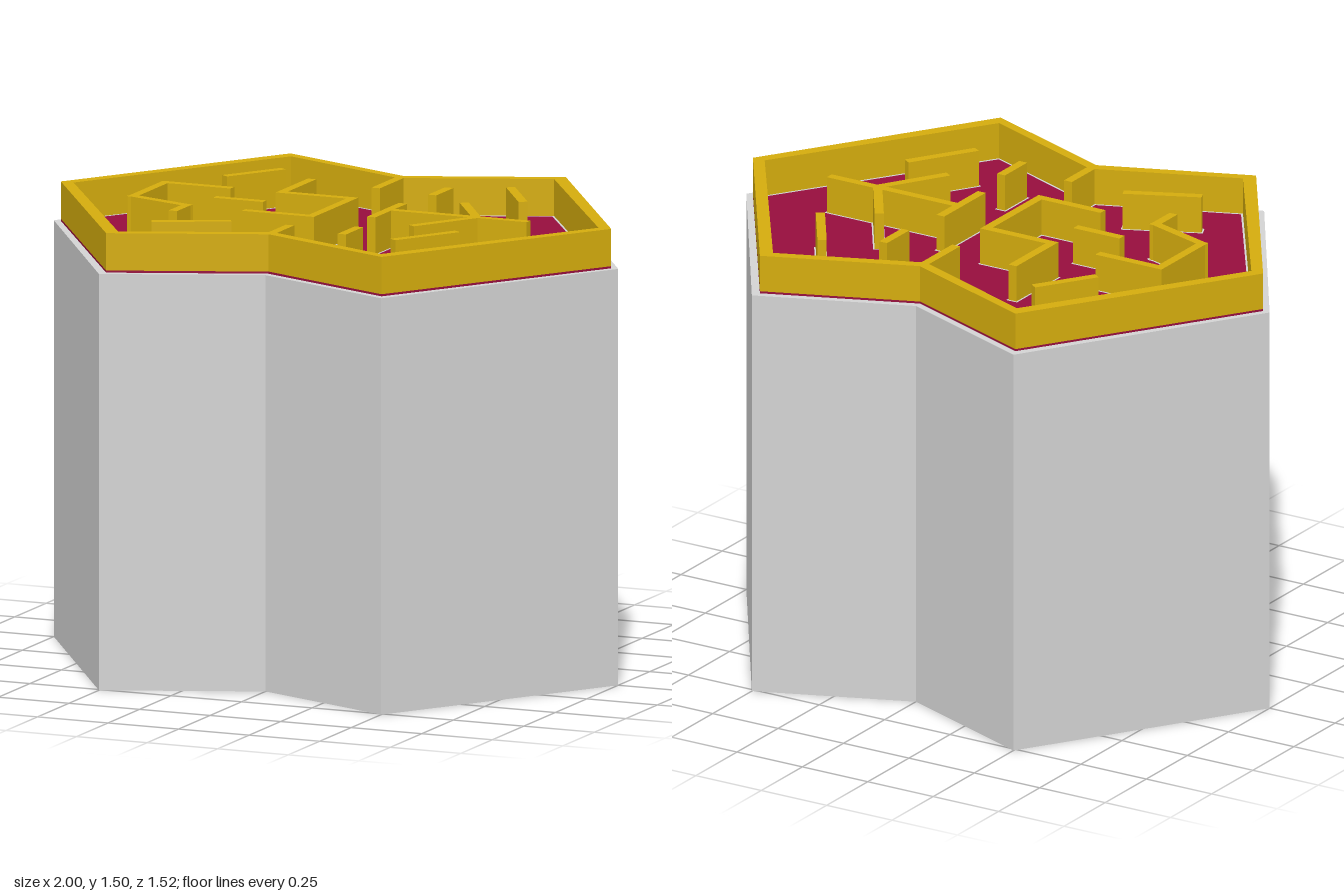
import * as THREE from 'three';

const BASE_TOP = 1.373, FLOOR_TOP = 1.38, WALL_TOP = 1.503, T = 0.03;

// Symmetric six-pointed outline with a notch at front and back
function outline(tipX, cornerX, cornerZ, notchZ) {
  return [
    [tipX, 0], [cornerX, cornerZ], [0, notchZ], [-cornerX, cornerZ],
    [-tipX, 0], [-cornerX, -cornerZ], [0, -notchZ], [cornerX, -cornerZ],
  ].map(([x, z]) => new THREE.Vector2(x, z));
}

// Vertical prism from an outline, optionally with a hole
function prism(name, outer, inner, y0, y1, material) {
  const shape = new THREE.Shape(outer);
  if (inner) shape.holes.push(new THREE.Path(inner));
  const geo = new THREE.ExtrudeGeometry(shape, { depth: y1 - y0, bevelEnabled: false });
  geo.rotateX(-Math.PI / 2);
  geo.translate(0, y0, 0);
  const mesh = new THREE.Mesh(geo, material);
  mesh.name = name;
  return mesh;
}

// Straight slab between two plan points; ext lengthens each end
function slab(name, a, b, width, extA, extB, y0, y1, material) {
  const dx = b[0] - a[0], dz = b[1] - a[1], len = Math.hypot(dx, dz);
  const geo = new THREE.BoxGeometry(len + extA + extB, y1 - y0, width);
  geo.translate((extB - extA) / 2, 0, 0);
  const mesh = new THREE.Mesh(geo, material);
  mesh.position.set((a[0] + b[0]) / 2, (y0 + y1) / 2, (a[1] + b[1]) / 2);
  mesh.rotation.y = -Math.atan2(dz, dx);
  mesh.name = name;
  return mesh;
}

export function createModel() {
  const stone = new THREE.MeshStandardMaterial({ color: 0xd3d3d3 });
  stone.name = 'light grey';
  const gold = new THREE.MeshStandardMaterial({ color: 0xd4ac0d });
  gold.name = 'gold';
  const crimson = new THREE.MeshStandardMaterial({ color: 0x970e3d });
  crimson.name = 'crimson';

  const model = new THREE.Group();
  model.name = 'mazePlinth';

  // Plinth, floor and surrounding rim
  const rimOuter = outline(0.975, 0.488, 0.732, 0.535);
  const rimInner = outline(0.93, 0.466, 0.687, 0.497);
  model.add(
    prism('plinth', outline(1, 0.5, 0.762, 0.56), null, 0, BASE_TOP, stone),
    prism('floor', rimOuter, null, BASE_TOP, FLOOR_TOP, crimson),
    prism('rim', rimOuter, rimInner, FLOOR_TOP, WALL_TOP, gold),
    prism('rimSeam', rimInner, outline(0.923, 0.463, 0.68, 0.491), FLOOR_TOP, FLOOR_TOP + 0.001, stone),
  );

  // Maze walls as plan polylines [x, z]
  const paths = [
    [[0, -0.51], [0, -0.315]],
    [[0, 0.365], [0, 0.51]],
    [[-0.405, -0.49], [-0.53, -0.303]],
    [[-0.25, -0.37], [-0.25, -0.13], [0, -0.13], [0, 0.195], [-0.24, 0.195]],
    [[-0.425, -0.13], [-0.663, -0.13], [-0.663, 0.123], [-0.444, 0.193], [-0.444, 0.3]],
    [[-0.415, 0.033], [-0.238, 0.033]],
    [[-0.437, 0.485], [-0.203, 0.377]],
    [[0.215, -0.417], [0.215, -0.282]],
    [[0.215, 0.3], [0.215, 0.435]],
    [[0.393, -0.505], [0.53, -0.298]],
    [[0.538, 0.24], [0.402, 0.45]],
    [[0.185, -0.117], [0.185, 0.135]],
    [[0.195, -0.005], [0.68, -0.005]],
    [[0.362, -0.207], [0.495, -0.005]],
    [[0.362, 0.213], [0.495, 0.0]],
  ];
  const walls = new THREE.Group();
  walls.name = 'mazeWalls';
  const gap = 0.005;
  for (const path of paths) {
    for (let i = 0; i < path.length - 1; i++) {
      const extA = i > 0 ? T / 2 : 0;
      const extB = i < path.length - 2 ? T / 2 : 0;
      walls.add(
        slab('mazeWall', path[i], path[i + 1], T, extA, extB, FLOOR_TOP, WALL_TOP, gold),
        // Pale seam around the foot of the wall
        slab('wallSeam', path[i], path[i + 1], T + 2 * gap, extA + gap, extB + gap,
          FLOOR_TOP - 0.004, FLOOR_TOP + 0.001, stone),
      );
    }
  }
  model.add(walls);
  return model;
}
